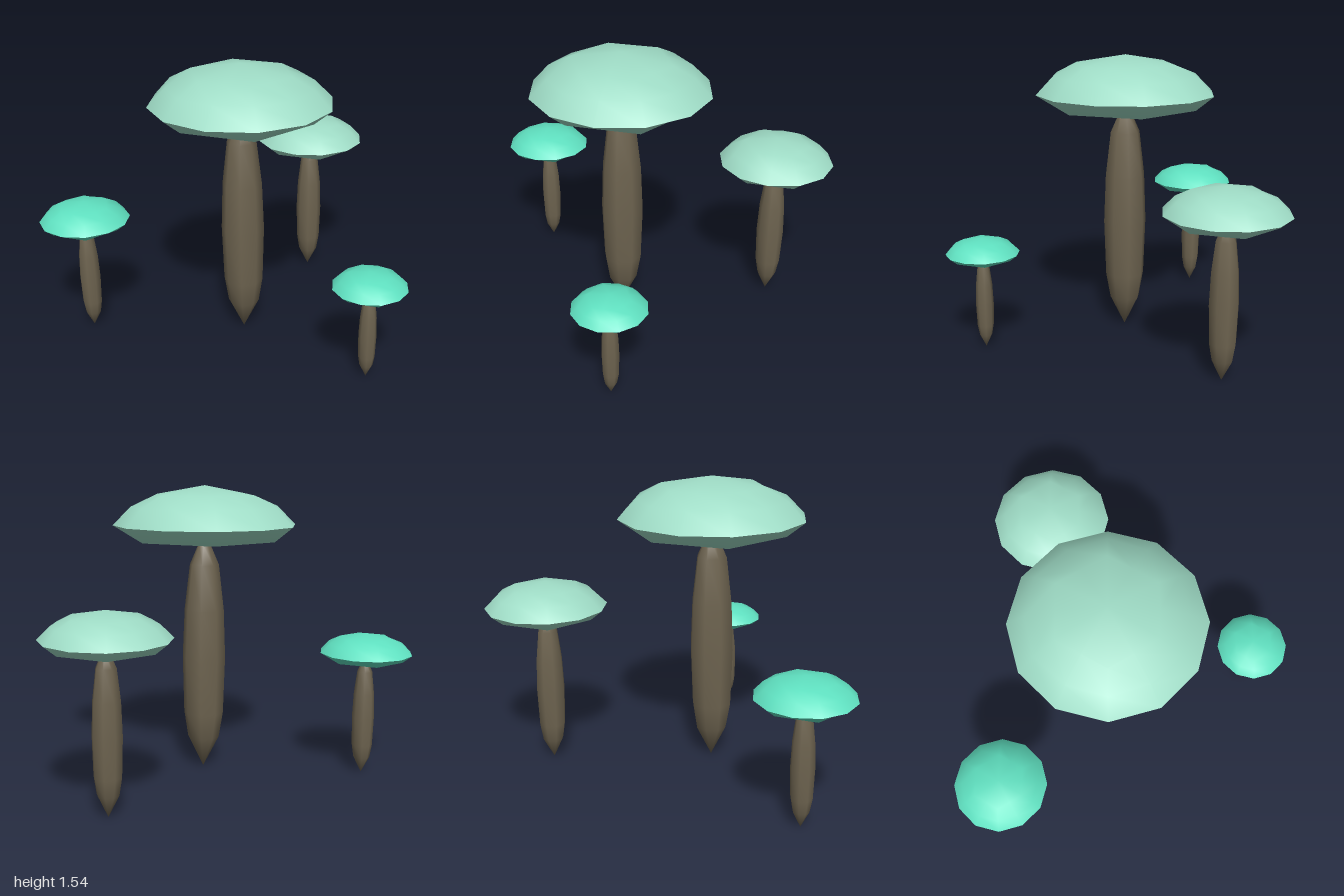
import * as THREE from 'three';
import { mergeVertices } from 'three/addons/utils/BufferGeometryUtils.js';

// Smooth loft through rings [evenRadius, oddRadius, y], listed from bottom to top.
function loft(rings, sides) {
  const pos = [], index = [];
  rings.forEach(([even, odd, y]) => {
    for (let j = 0; j < sides; j++) {
      const a = (j / sides) * Math.PI * 2;
      const r = j % 2 ? odd : even;
      pos.push(Math.cos(a) * r, y, Math.sin(a) * r);
    }
  });
  for (let i = 0; i < rings.length - 1; i++) {
    for (let j = 0; j < sides; j++) {
      const k = (j + 1) % sides;
      const a = i * sides + j, b = i * sides + k;
      const c = a + sides, d = b + sides;
      if (rings[i][0] > 0) index.push(a, d, b);
      if (rings[i + 1][0] > 0) index.push(a, c, d);
      else if (rings[i][0] > 0) index.splice(-3, 3, a, c, b);
    }
  }
  let geo = new THREE.BufferGeometry();
  geo.setAttribute('position', new THREE.Float32BufferAttribute(pos, 3));
  geo.setIndex(index);
  geo = mergeVertices(geo, 1e-5);
  geo.computeVertexNormals();
  return geo;
}

export function createModel() {
  const mat = (name, color) => {
    const m = new THREE.MeshStandardMaterial({ color });
    m.name = name;
    return m;
  };
  const paleGreen = mat('pale green', 0x9fdcc6);
  const turquoise = mat('turquoise', 0x5fe0c0);
  const brown = mat('stem brown', 0x6e6450);

  // Six-sided inner rings are twelve-sided rings with pulled-in odd corners.
  const hex = Math.cos(Math.PI / 6);
  const dome = loft([
    [0.485, 0.485, 1.33],
    [0.396, 0.388, 1.427],
    [0.278, 0.278 * hex, 1.487],
    [0, 0, 1.536],
  ], 12);
  const underside = loft([
    [0, 0, 1.22],
    [0.39, 0.39 * hex, 1.252],
    [0.485, 0.485, 1.33],
  ], 12);
  const stemGeo = loft([
    [0, 0, 0],
    [0.082, 0.085, 0.17],
    [0.107, 0.107, 0.31],
    [0.118, 0.116, 0.62],
    [0.108, 0.106, 0.88],
    [0.08, 0.078, 1.12],
    [0.035, 0.035, 1.22],
    [0, 0, 1.24],
  ], 8);

  const model = new THREE.Group();
  model.name = 'mushroomCluster';

  // Each mushroom: name, x, z, scale, cap colour
  const mushrooms = [
    ['tallMushroom', -0.12, -0.09, 1, paleGreen],
    ['mediumMushroom', 0.68, -0.41, 0.65, paleGreen],
    ['smallMushroom', -0.76, -0.665, 0.5, turquoise],
    ['tinyMushroom', 0.04, 0.71, 0.4, turquoise],
  ];
  for (const [name, x, z, scale, capMat] of mushrooms) {
    const g = new THREE.Group();
    g.name = name;
    const parts = [
      ['capDome', dome, capMat],
      ['capUnderside', underside, capMat],
      ['stem', stemGeo, brown],
    ];
    for (const [part, geo, material] of parts) {
      const mesh = new THREE.Mesh(geo, material);
      mesh.name = part;
      g.add(mesh);
    }
    g.position.set(x, 0, z);
    g.scale.setScalar(scale);
    model.add(g);
  }
  return model;
}
